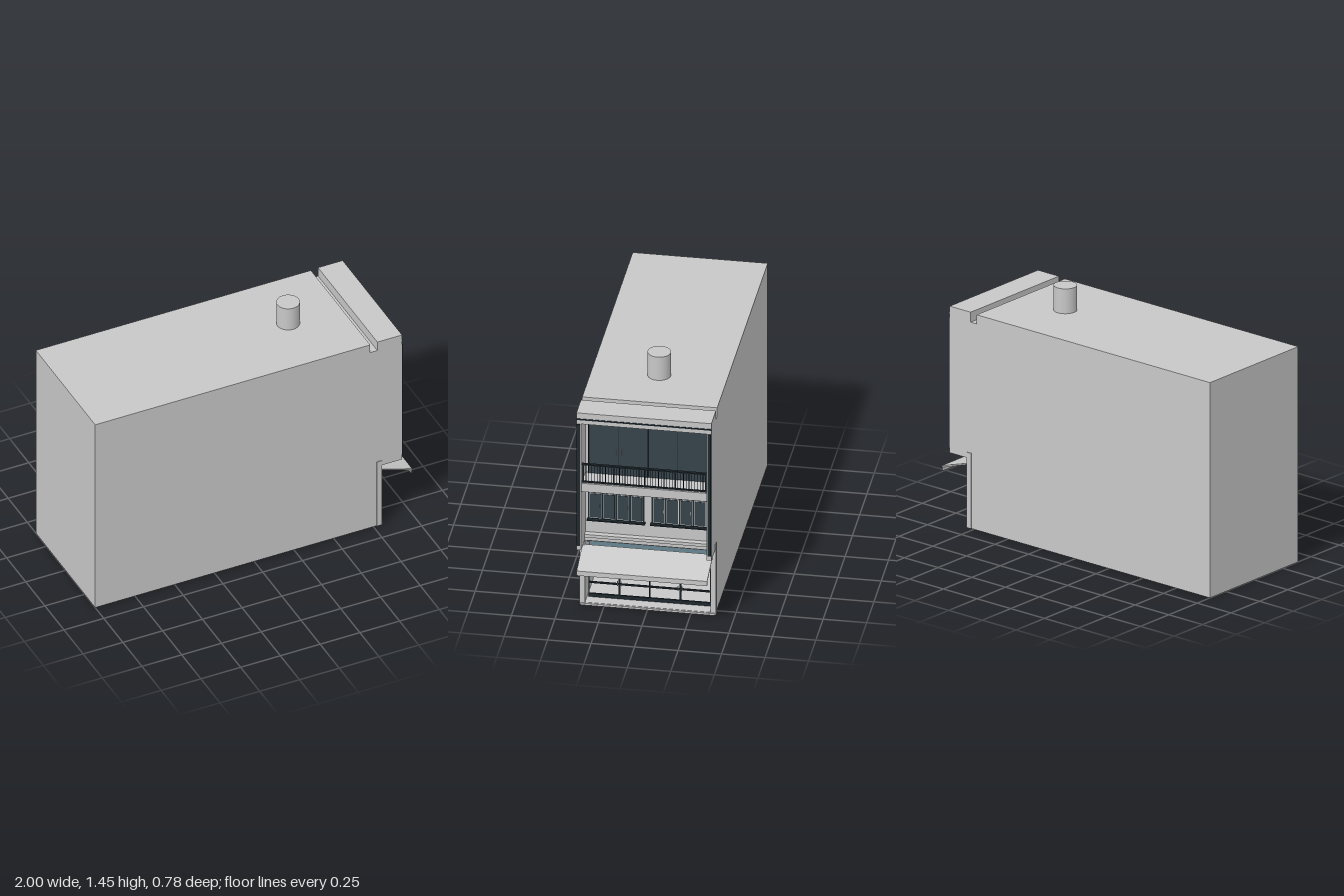
import * as THREE from 'three';

export function createModel() {
  const model = new THREE.Group();
  const mat = (name, color, side = THREE.FrontSide) => {
    const m = new THREE.MeshStandardMaterial({ color, side });
    m.name = name;
    return m;
  };
  const wall = mat('pale concrete', 0xc8c8c8);
  const frame = mat('dark metal', 0x1f2a30);
  const glass = mat('dark glass', 0x35434b);
  const transom = mat('blue glass', 0x6a8793);

  const add = (name, geo, material, parent = model) => {
    const m = new THREE.Mesh(geo, material);
    m.name = name;
    parent.add(m);
    return m;
  };
  // box given by its min and max on each axis
  const box = (name, x0, x1, y0, y1, z0, z1, material, parent) => {
    const g = new THREE.BoxGeometry(x1 - x0, y1 - y0, z1 - z0);
    g.translate((x0 + x1) / 2, (y0 + y1) / 2, (z0 + z1) / 2);
    return add(name, g, material, parent);
  };
  // side profile (x, y) extruded across z
  const slab = (name, pts, z0, z1, material) => {
    const shape = new THREE.Shape(pts.map(p => new THREE.Vector2(...p)));
    const g = new THREE.ExtrudeGeometry(shape, { depth: z1 - z0, bevelEnabled: false });
    g.translate(0, 0, z0);
    return add(name, g, material);
  };

  // Party walls, with the roof notch and the overhanging upper storeys
  const top = [[0.93, 1.305], [0.775, 1.305], [0.775, 1.245], [0.73, 1.245], [0.73, 1.3], [-1, 1.3]];
  const sideProfile = [[-1, 0], [0.8, 0], [0.8, 0.42], [0.93, 0.42], ...top];
  for (const s of [-1, 1]) {
    slab('sideWall', sideProfile, s > 0 ? 0.36 : -0.388, s > 0 ? 0.388 : -0.36, wall);
    const a = s * 0.366, b = s * 0.385;
    box('cornerStrip', 0.93, 0.936, 0.45, 1.235, Math.min(a, b), Math.max(a, b), frame);
    const c = s * 0.361, d = s * 0.392;
    box('groundPier', 0.77, 0.803, 0, 0.455, Math.min(c, d), Math.max(c, d), wall);
  }

  // Upper storeys and roof between the walls
  slab('upperStoreys', [[-1, 0.36], [0.715, 0.36], [0.715, 0.42], [0.785, 0.42], [0.785, 1.235],
    [0.93, 1.235], ...top], -0.36, 0.36, wall);
  box('parapetStripe', 0.93, 0.934, 1.261, 1.269, -0.388, 0.388, frame);
  box('headBeam', 0.785, 0.81, 1.203, 1.235, -0.36, 0.36, wall);
  for (const z of [-0.24, 0, 0.24]) {
    const lamp = add('ceilingLamp', new THREE.CylinderGeometry(0.008, 0.008, 0.004, 12), frame);
    lamp.position.set(0.86, 1.233, z);
  }

  // Hollow ground floor room
  box('groundFloor', -1, 0.8, 0, 0.014, -0.36, 0.36, wall);
  box('doorstep', 0.79, 0.81, 0, 0.012, -0.385, 0.385, wall);
  box('rearWall', -1, -0.98, 0.014, 0.36, -0.36, 0.36, wall);

  // Roof tank
  const tank = add('roofTank', new THREE.CylinderGeometry(0.067, 0.067, 0.15, 40), wall);
  tank.position.set(0.4, 1.375, 0);

  // Shopfront: open frame with blue lights above
  const shop = new THREE.Group();
  shop.name = 'shopfront';
  model.add(shop);
  for (let i = 0; i < 5; i++) {
    const z = -0.35 + i * 0.175, w = i % 2 ? 0.005 : 0.003;
    box('shopMullion', 0.718, 0.73, 0.02, 0.3, z - w, z + w, frame, shop);
  }
  for (const [y0, y1] of [[0.014, 0.035], [0.102, 0.11], [0.291, 0.3]]) {
    box('shopRail', 0.718, 0.73, y0, y1, -0.352, 0.352, frame, shop);
  }
  for (const z of [-0.185, -0.163, 0.163, 0.185]) {
    box('shopHandle', 0.73, 0.738, 0.1, 0.128, z - 0.002, z + 0.002, wall, shop);
  }
  box('shopTransom', 0.718, 0.725, 0.3, 0.412, -0.35, 0.35, transom, shop);
  box('shopLintel', 0.715, 0.8, 0.412, 0.44, -0.36, 0.36, wall);

  // Sloping awning with a front lip
  slab('awning', [[0.795, 0.378], [0.993, 0.314], [0.993, 0.292], [1, 0.292], [1, 0.322], [0.795, 0.386]],
    -0.375, 0.375, wall);

  // First floor: ledges and two four-leaf windows
  box('lowerLedge', 0.785, 0.82, 0.444, 0.463, -0.36, 0.36, wall);
  box('lowerLedgeStep', 0.785, 0.81, 0.42, 0.444, -0.36, 0.36, wall);
  for (const s of [-1, 1]) {
    const win = new THREE.Group();
    win.name = 'windowSet';
    win.position.z = s * 0.182;
    model.add(win);
    box('windowFrame', 0.785, 0.79, 0.548, 0.772, -0.162, 0.162, frame, win);
    box('windowSill', 0.785, 0.81, 0.546, 0.554, -0.167, 0.167, frame, win);
    for (let i = 0; i < 4; i++) {
      const z = -0.1185 + i * 0.079;
      box('transomPane', 0.79, 0.792, 0.728, 0.767, z - 0.037, z + 0.037, transom, win);
      box('leafBorder', 0.79, 0.792, 0.559, 0.72, z - 0.035, z + 0.035, wall, win);
      box('leafPane', 0.792, 0.794, 0.563, 0.716, z - 0.031, z + 0.031, glass, win);
      if (i % 2) box('leafHandle', 0.794, 0.798, 0.628, 0.65, z - 0.027, z - 0.025, wall, win);
    }
  }

  // Balcony slab with stepped underside
  box('balconySlab', 0.785, 0.92, 0.793, 0.847, -0.36, 0.36, wall);
  box('balconyStep', 0.785, 0.86, 0.78, 0.793, -0.36, 0.36, wall);
  box('balconyShadowStrip', 0.785, 0.864, 0.775, 0.78, -0.358, 0.358, frame);

  // Top floor sliding doors
  box('balconyGlass', 0.785, 0.79, 0.847, 1.163, -0.343, 0.343, glass);
  for (const z of [-0.342, -0.171, 0, 0.171, 0.342]) {
    box('balconyMullion', 0.79, 0.793, 0.847, 1.163, z - 0.002, z + 0.002, frame);
  }
  for (const z of [-0.183, -0.157, 0.157, 0.183]) {
    box('doorHandle', 0.79, 0.798, 0.978, 1.015, z - 0.0015, z + 0.0015, wall);
  }

  // Balcony railing
  const rail = new THREE.Group();
  rail.name = 'railing';
  model.add(rail);
  box('handrail', 0.9, 0.916, 0.962, 0.97, -0.358, 0.358, frame, rail);
  box('bottomRail', 0.903, 0.913, 0.85, 0.857, -0.358, 0.358, frame, rail);
  for (let i = 0; i <= 44; i++) {
    const z = -0.352 + i * 0.016, w = i % 11 ? 0.0015 : 0.004;
    box('baluster', 0.906, 0.91, 0.847, 0.964, z - w, z + w, frame, rail);
  }
  return model;
}
